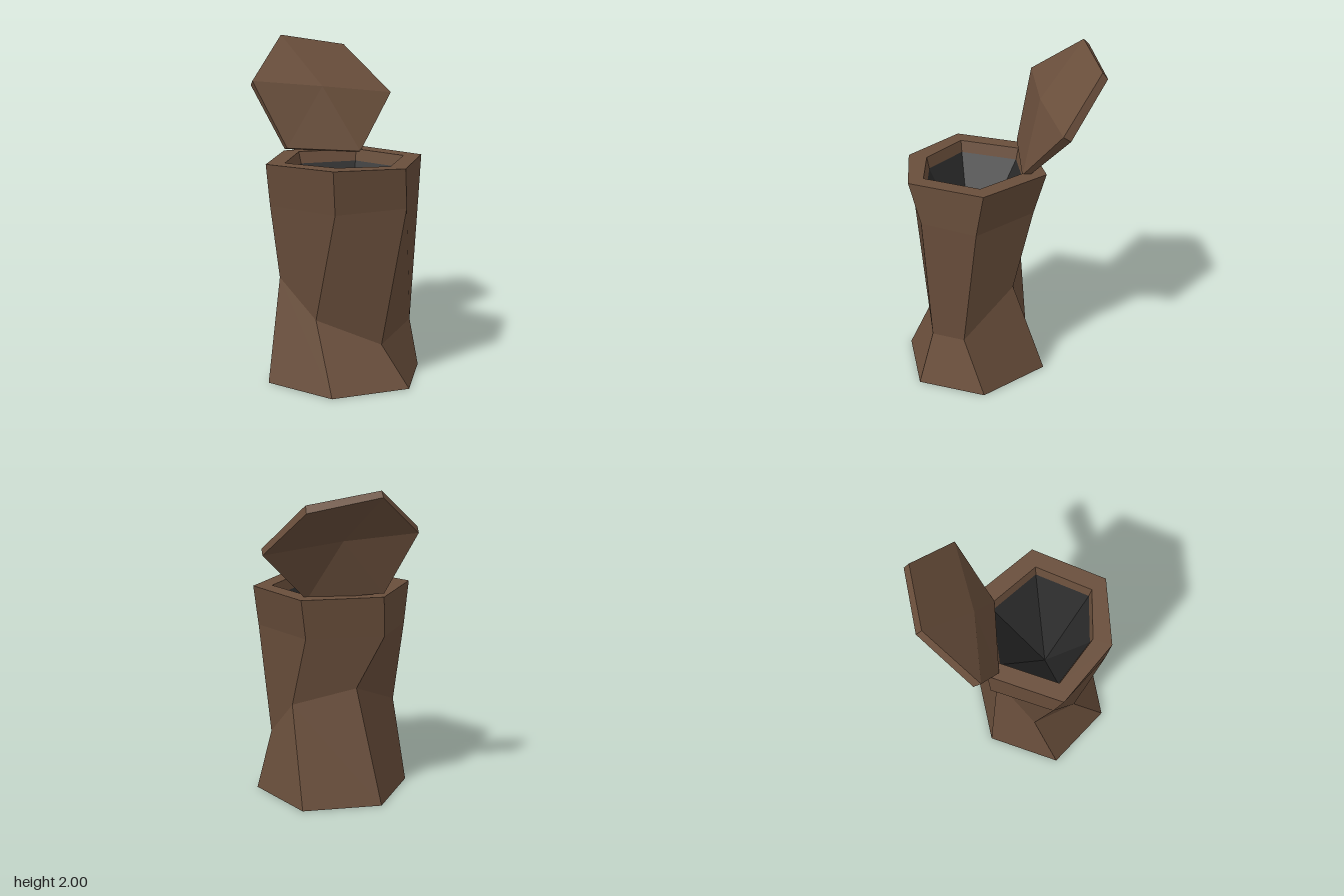
import * as THREE from 'three';

const wood = new THREE.MeshStandardMaterial({ color: 0x694e3b });
wood.name = 'brown wood';
const dark = new THREE.MeshStandardMaterial({ color: 0x2a2a2a });
dark.name = 'dark hollow';

// Joins hexagonal rings into one faceted skin, one normal per panel.
// Optional centres close the ends; folds lists panels ("ring,corner") split the other way.
function loft(name, material, rings, { startCentre, endCentre, folds = [] }) {
  const positions = [], normals = [];
  const vec = (p) => new THREE.Vector3(...p);
  const cross = (a, b, c, d) => vec(b).sub(vec(a)).cross(vec(d).sub(vec(c))).normalize();
  const tri = (normal, ...pts) => pts.forEach((p) => {
    positions.push(...p);
    normals.push(...normal.toArray());
  });
  const fan = (a, b, c) => tri(cross(a, b, a, c), a, b, c);
  const first = rings[0], last = rings[rings.length - 1];
  for (let i = 0; i < first.length; i++) {
    const j = (i + 1) % first.length;
    for (let k = 0; k + 1 < rings.length; k++) {
      const lo = rings[k], hi = rings[k + 1];
      const normal = cross(lo[j], hi[i], lo[i], hi[j]);
      if (folds.includes(`${k},${i}`)) {
        tri(normal, lo[j], lo[i], hi[i]);
        tri(normal, lo[j], hi[i], hi[j]);
      } else {
        tri(normal, lo[j], lo[i], hi[j]);
        tri(normal, lo[i], hi[i], hi[j]);
      }
    }
    if (startCentre) fan(startCentre, first[i], first[j]);
    if (endCentre) fan(endCentre, last[j], last[i]);
  }
  const g = new THREE.BufferGeometry();
  g.setAttribute('position', new THREE.Float32BufferAttribute(positions, 3));
  g.setAttribute('normal', new THREE.Float32BufferAttribute(normals, 3));
  const mesh = new THREE.Mesh(g, material);
  mesh.name = name;
  return mesh;
}

// Shrinks a ring towards the body axis in plan and sets its height
const inset = (ring, s, y, cx = 0.1, cz = 0.14) =>
  ring.map(([x, , z]) => [cx + (x - cx) * s, y, cz + (z - cz) * s]);

export function createModel() {
  const model = new THREE.Group();

  // Body rings, corners running back, back left, front left, front, front right, back right
  const base = [[0.042, 0, -0.31], [0.487, 0, -0.125], [0.541, 0, 0.295],
    [0.16, 0, 0.588], [-0.28, 0, 0.46], [-0.34, 0, 0]];
  const waist = [[0.193, 0.62, -0.17], [0.467, 0.34, 0.02], [0.37, 0.255, 0.295],
    [0.01, 0.41, 0.43], [-0.27, 0.605, 0.28], [-0.176, 0.745, -0.03]];
  const shoulder = [[0.057, 1.07, -0.235], [0.485, 1.07, -0.08], [0.505, 1.08, 0.27],
    [0.16, 1.07, 0.53], [-0.28, 1.07, 0.4], [-0.338, 1.08, 0.015]];
  const top = 1.325;
  const rim = [[0.042, top, -0.31], [0.487, top, -0.13], [0.516, top, 0.343],
    [0.157, top, 0.555], [-0.28, top, 0.46], [-0.34, top, 0]];
  const mouth = [[0.06, top, -0.19], [0.395, top, -0.06], [0.415, top, 0.3],
    [0.14, top, 0.44], [-0.19, top, 0.387], [-0.24, top, 0.015]];
  const lip = inset(mouth, 0.95, 1.255);
  const foot = inset(base, 0.78, 0);
  const recess = inset(base, 0.77, 0.06);
  model.add(loft('body', wood, [recess, foot, base, waist, shoulder, rim, mouth, lip],
    { startCentre: [0.1, 0.06, 0.14], folds: ['3,4'] }));

  // Dark hollow narrowing to a point
  model.add(loft('hollow', dark, [lip], { endCentre: [0.1, 0.7, 0.165] }));

  // Open lid leaning back from the rim, dished so both faces share the same bend
  const lidFront = [[-0.467, 2, -0.3], [-0.14, 1.93, -0.562], [0.198, 1.645, -0.48],
    [0.092, 1.314, -0.177], [-0.3, 1.35, 0.055], [-0.515, 1.75, 0.065]];
  const lidBack = [[-0.49, 1.967, -0.325], [-0.16, 1.89, -0.587], [0.17, 1.615, -0.515],
    [0.067, 1.302, -0.203], [-0.325, 1.34, 0.03], [-0.54, 1.72, 0.03]];
  model.add(loft('lid', wood, [lidBack, lidFront],
    { startCentre: [-0.175, 1.675, -0.197], endCentre: [-0.15, 1.705, -0.17] }));

  return model;
}
